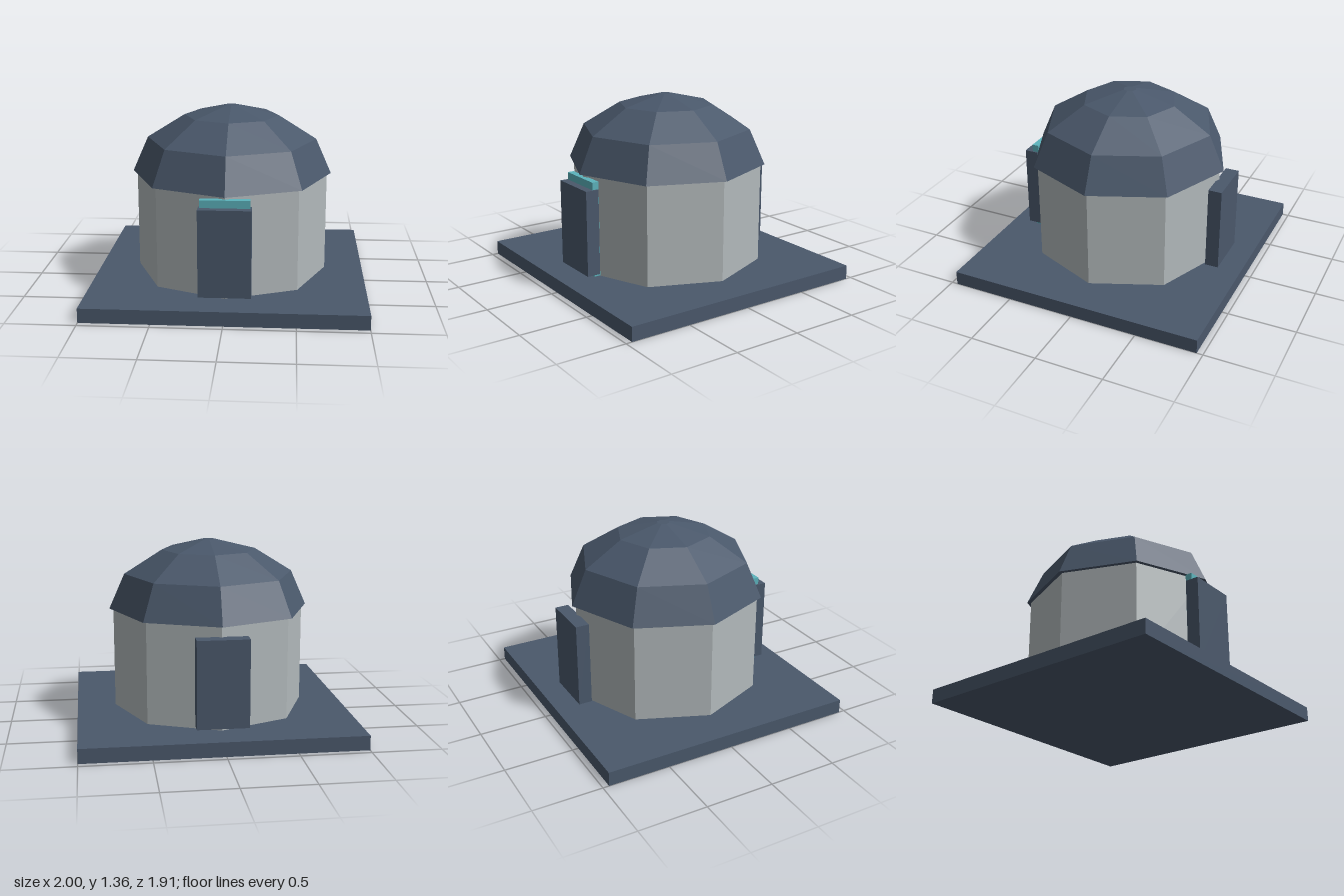
import * as THREE from 'three';

const slate = new THREE.MeshStandardMaterial({ color: 0x4a586b, flatShading: true });
slate.name = 'slate';
const stone = new THREE.MeshStandardMaterial({ color: 0xb2b9bb, flatShading: true });
stone.name = 'stone';
const teal = new THREE.MeshStandardMaterial({ color: 0x5cb3bc, flatShading: true });
teal.name = 'teal';

export function createModel() {
  const model = new THREE.Group();
  model.name = 'domedHut';

  const add = (name, geometry, material, x, y, z) => {
    const mesh = new THREE.Mesh(geometry, material);
    mesh.name = name;
    mesh.position.set(x, y, z);
    model.add(mesh);
  };
  const box = (name, w, h, d, material, y, z) =>
    add(name, new THREE.BoxGeometry(w, h, d), material, 0, y + h / 2, z);

  // Ground slab
  box('baseSlab', 2, 0.105, 1.91, slate, 0, 0);

  // Eight-sided wall with a corner facing the front
  add('wall', new THREE.CylinderGeometry(0.715, 0.715, 0.745, 8), stone, 0, 0.4775, 0);

  // Faceted dome with a closed underside and a small flat top
  const domeProfile = [[0, 0.85], [0.745, 0.85], [0.63, 1.11], [0.35, 1.285], [0.048, 1.36], [0, 1.36]]
    .map(([r, y]) => new THREE.Vector2(r, y));
  add('dome', new THREE.LatheGeometry(domeProfile, 8), slate, 0, 0, 0);

  // Door frame, front door and matching back panel
  box('doorFrame', 0.35, 0.7, 0.05, teal, 0.13, 0.718);
  box('frontDoor', 0.37, 0.63, 0.1, slate, 0.145, 0.75);
  box('backPanel', 0.37, 0.63, 0.1, slate, 0.145, -0.75);

  return model;
}
